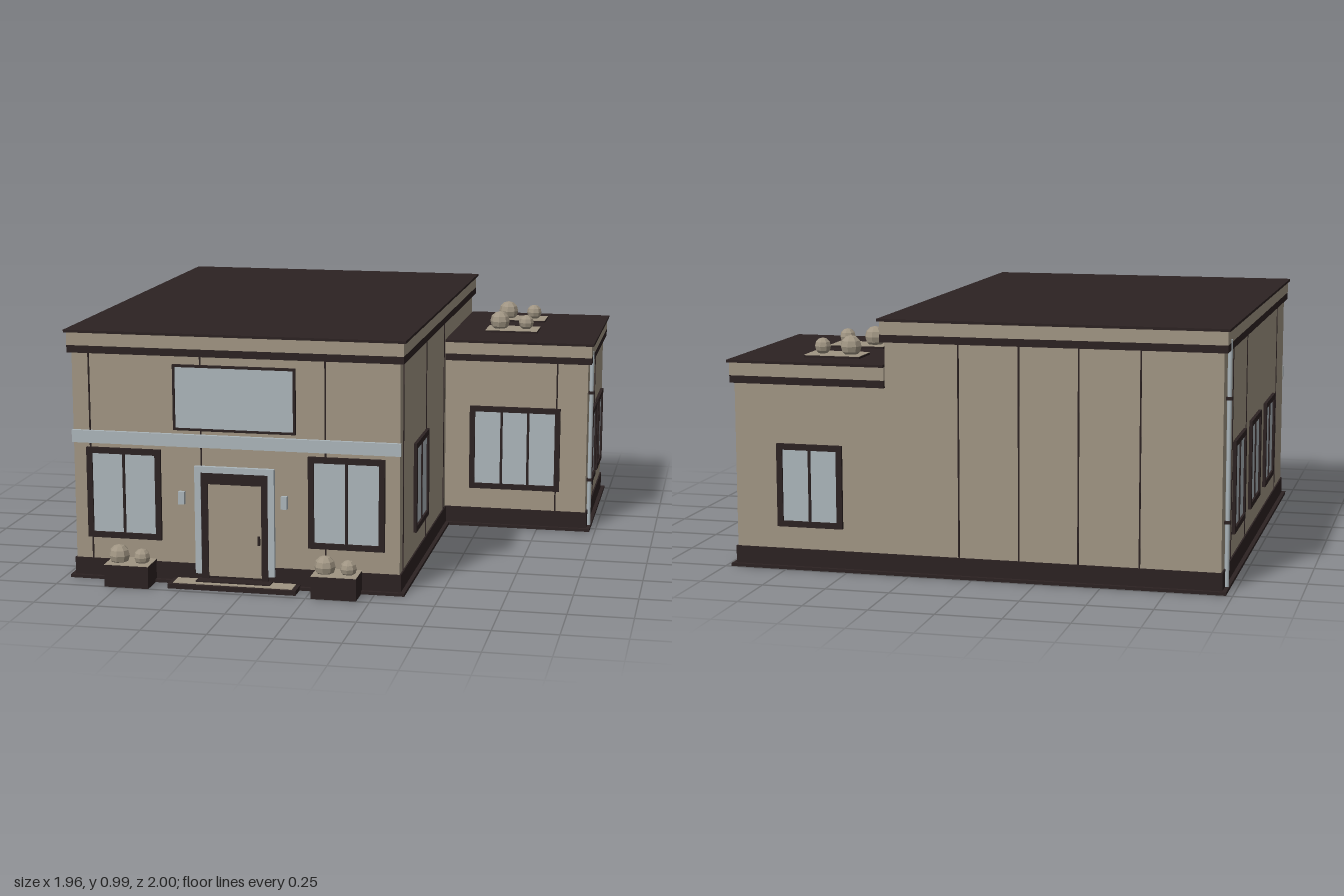
import * as THREE from 'three';

const material = (name, color, extra = {}) => {
  const m = new THREE.MeshStandardMaterial({ color, ...extra });
  m.name = name;
  return m;
};

export function createModel() {
  const model = new THREE.Group();
  model.name = 'building';
  const stone = material('beige plaster', 0xa09583);
  const facetedStone = material('beige shrub', 0xa09583, { flatShading: true });
  const dark = material('dark brown trim', 0x2c2222);
  const pale = material('pale blue glass and trim', 0xabb5ba);

  // Box given by its minimum and maximum along each axis
  const box = (parent, name, mat, [x0, x1], [y0, y1], [z0, z1]) => {
    const mesh = new THREE.Mesh(new THREE.BoxGeometry(x1 - x0, y1 - y0, z1 - z0), mat);
    mesh.position.set((x0 + x1) / 2, (y0 + y1) / 2, (z0 + z1) / 2);
    mesh.name = name;
    parent.add(mesh);
    return mesh;
  };

  const group = (name, parent = model) => {
    const g = new THREE.Group();
    g.name = name;
    parent.add(g);
    return g;
  };

  // Block with base slab, plinth, walls, cornice and roof; grow = [left, right, back, front]
  const block = (name, [x0, x1], [z0, z1], top, sides) => {
    const g = group(name);
    const layer = (part, mat, y0, y1, out) =>
      box(g, part, mat, [x0 - out * sides[0], x1 + out * sides[1]], [y0, y1],
        [z0 - out * sides[2], z1 + out * sides[3]]);
    layer('baseSlab', dark, 0, 0.012, 0.022);
    layer('plinth', dark, 0.012, 0.08, 0.006);
    layer('walls', stone, 0.08, top - 0.08, 0);
    layer('corniceBand', dark, top - 0.09, top - 0.061, 0.015);
    layer('cornice', stone, top - 0.061, top - 0.01, 0.015);
    layer('roof', dark, top - 0.01, top, 0.024);
  };
  block('mainBlock', [-0.953, 0.345], [-0.975, 0.88], 0.993, [1, 1, 1, 1]);
  block('sideWing', [0.345, 0.955], [-0.975, -0.215], 0.817, [0, 1, 1, 1]);

  // Wall frames: local z points out of the wall, local x runs along it
  const wall = (name, x, z, turn) => {
    const g = group(name);
    g.position.set(x, 0, z);
    g.rotation.y = turn;
    return g;
  };
  const front = wall('frontWall', 0, 0.88, 0);
  const wingFront = wall('wingFrontWall', 0, -0.215, 0);
  const east = wall('leftWall', 0.345, 0, Math.PI / 2);
  const wingEast = wall('wingLeftWall', 0.955, 0, Math.PI / 2);
  const west = wall('rightWall', -0.953, 0, -Math.PI / 2);
  const back = wall('backWall', 0, -0.975, Math.PI);

  // Rectangular frame of four bars
  const frame = (parent, name, mat, x0, x1, y0, y1, t, depth) => {
    box(parent, name, mat, [x0, x0 + t], [y0, y1], [0, depth]);
    box(parent, name, mat, [x1 - t, x1], [y0, y1], [0, depth]);
    box(parent, name, mat, [x0 + t, x1 - t], [y0, y0 + t], [0, depth]);
    box(parent, name, mat, [x0 + t, x1 - t], [y1 - t, y1], [0, depth]);
  };

  const addWindow = (parent, x0, x1, y1, panes = 2) => {
    const g = group('window', parent);
    const y0 = 0.168, t = 0.023;
    frame(g, 'windowFrame', dark, x0, x1, y0, y1, t, 0.013);
    box(g, 'windowGlass', pale, [x0 + t, x1 - t], [y0 + t, y1 - t], [0, 0.005]);
    for (let i = 1; i < panes; i++) {
      const x = x0 + t + (x1 - x0 - 2 * t) * i / panes;
      box(g, 'mullion', dark, [x - 0.005, x + 0.005], [y0 + t, y1 - t], [0, 0.01]);
    }
  };
  addWindow(front, -0.9, -0.6, 0.53);
  addWindow(front, -0.012, 0.288, 0.53);
  addWindow(wingFront, 0.452, 0.842, 0.53, 3);
  addWindow(east, -0.58, -0.28, 0.53);
  addWindow(wingEast, 0.317, 0.573, 0.495);
  addWindow(wingEast, 0.643, 0.9, 0.495);
  for (const z of [-0.56, -0.1, 0.36]) addWindow(west, z - 0.15, z + 0.15, 0.53);
  addWindow(back, -0.785, -0.52, 0.495);

  // Vertical panel seams
  const seams = (parent, top, xs) => {
    for (const x of xs) box(parent, 'panelSeam', dark, [x - 0.003, x + 0.003], [0.08, top], [0, 0.003]);
  };
  seams(front, 0.905, [-0.885, -0.437, 0.055]);
  seams(wingFront, 0.73, [0.825]);
  seams(east, 0.905, [-0.815, -0.295, 0.155]);
  seams(wingEast, 0.73, [0.354, 0.557]);
  seams(west, 0.905, [-0.745, -0.355, 0.62]);
  seams(back, 0.905, [-0.055, 0.18, 0.41, 0.645]);

  // Blank display panel and fascia stripe
  frame(front, 'panelFrame', dark, -0.545, -0.06, 0.613, 0.87, 0.009, 0.014);
  box(front, 'panelFace', pale, [-0.536, -0.069], [0.622, 0.861], [0, 0.009]);
  box(front, 'fasciaStripe', pale, [-0.956, 0.35], [0.548, 0.597], [0, 0.016]);

  // Door with nested surrounds
  const door = group('door', front);
  for (const [x0, x1] of [[-0.462, -0.437], [-0.17, -0.145]])
    box(door, 'outerJamb', pale, [x0, x1], [0.045, 0.474], [0, 0.018]);
  box(door, 'outerLintel', pale, [-0.437, -0.17], [0.45, 0.474], [0, 0.018]);
  for (const [x0, x1] of [[-0.437, -0.41], [-0.197, -0.17]])
    box(door, 'innerJamb', dark, [x0, x1], [0.02, 0.45], [0, 0.015]);
  box(door, 'innerLintel', dark, [-0.41, -0.197], [0.405, 0.45], [0, 0.015]);
  box(door, 'doorLeaf', stone, [-0.41, -0.197], [0.035, 0.405], [0, 0.009]);
  box(door, 'doorHandle', dark, [-0.212, -0.203], [0.17, 0.205], [0.009, 0.02]);

  // Wall lamps beside the door
  for (const x of [-0.508, -0.1]) {
    box(front, 'lampArm', dark, [x - 0.004, x + 0.004], [0.345, 0.355], [0, 0.026]);
    box(front, 'lamp', pale, [x - 0.012, x + 0.012], [0.326, 0.376], [0.025, 0.045]);
  }

  // Entrance step and mat
  box(model, 'stepEdge', dark, [-0.555, -0.045], [0, 0.018], [0.88, 0.973]);
  box(model, 'stepTop', stone, [-0.538, -0.062], [0.018, 0.021], [0.88, 0.957]);
  box(model, 'doorMat', dark, [-0.452, -0.155], [0.021, 0.026], [0.88, 0.935]);

  // Planters, each with a large and a small faceted shrub
  const planter = (name, [x0, x1], [y0, y1], [z0, z1], shrubs) => {
    const g = group(name);
    box(g, 'planterBox', dark, [x0, x1], [y0, y1], [z0, z1]);
    box(g, 'planterSoil', stone, [x0, x1], [y1, y1 + 0.002], [z0, z1]);
    for (const [x, y, z, r] of shrubs) {
      const shrub = new THREE.Mesh(new THREE.SphereGeometry(r, 8, 6), facetedStone);
      shrub.position.set(x, y, z);
      shrub.name = 'shrub';
      g.add(shrub);
    }
  };
  for (const x of [-0.802, 0.021])
    planter('frontPlanter', [x, x + 0.177], [0, 0.088], [0.88, 1],
      [[x + 0.043, 0.115, 0.938, 0.042], [x + 0.135, 0.111, 0.938, 0.033]]);
  for (const z of [-0.792, -0.49])
    planter('roofPlanter', [0.485, 0.711], [0.81, 0.825], [z - 0.068, z + 0.068],
      [[0.54, 0.858, z, 0.043], [0.656, 0.855, z, 0.033]]);

  // Downpipes with brackets
  const downpipe = (x, z, top, brackets) => {
    const g = group('downpipe');
    const pipe = new THREE.Mesh(new THREE.CylinderGeometry(0.009, 0.009, top - 0.012, 10), pale);
    pipe.position.set(x, (top + 0.012) / 2, z);
    pipe.name = 'pipe';
    g.add(pipe);
    for (const y of brackets)
      box(g, 'pipeBracket', dark, [x - 0.012, x + 0.012], [y - 0.006, y + 0.006], [z - 0.013, z + 0.013]);
  };
  downpipe(0.966, -0.275, 0.775, [0.213, 0.595]);
  downpipe(-0.964, -0.905, 0.945, [0.258, 0.725]);

  return model;
}
